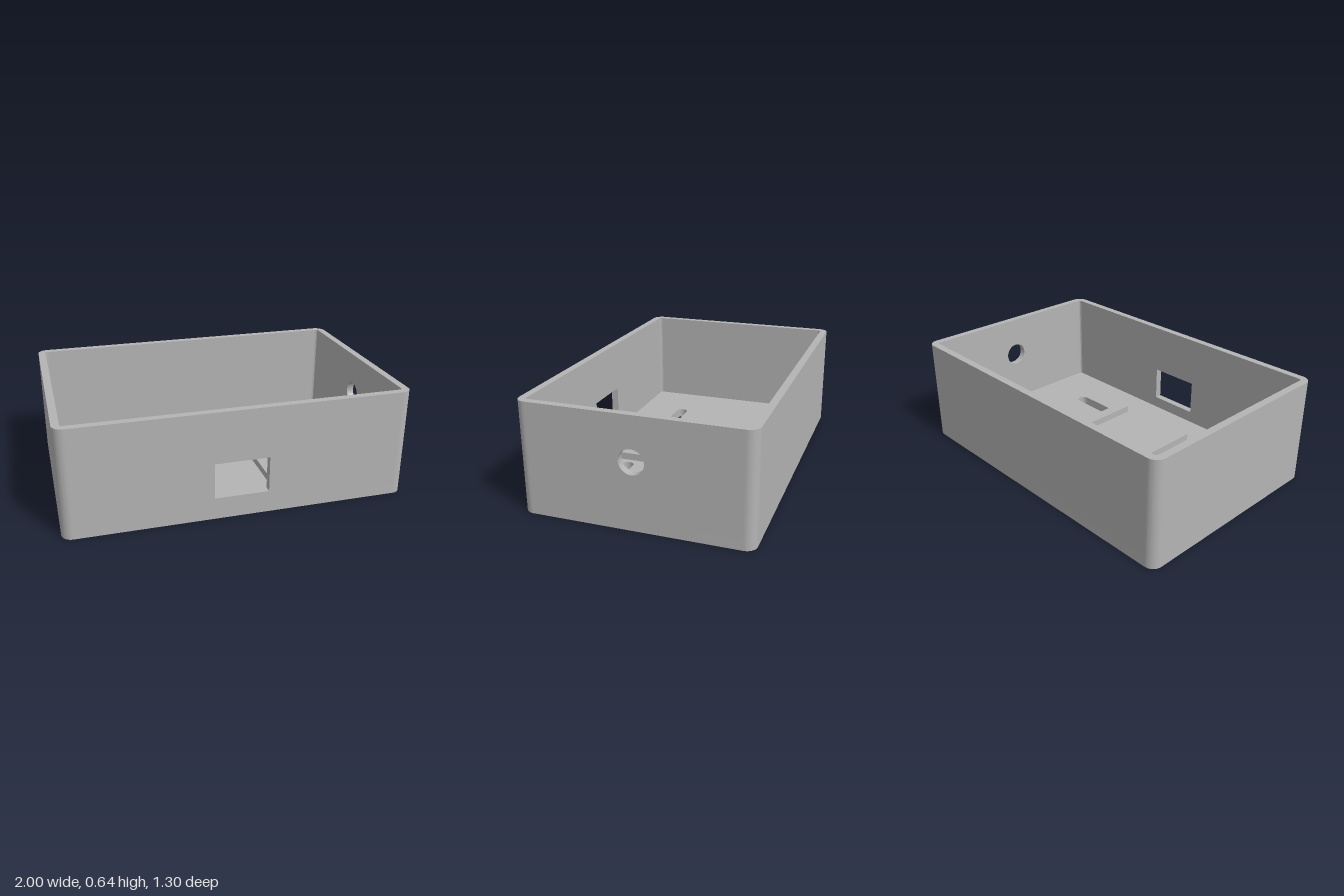
import * as THREE from 'three';
import { toCreasedNormals } from 'three/addons/utils/BufferGeometryUtils.js';

const W = 1, D = 0.65, H = 0.645;        // half width, half depth, height
const T = 0.0435, FLOOR = 0.057, R = 0.06; // wall, floor thickness, corner radius

function rect(x0, y0, x1, y1, Type = THREE.Shape) {
  const s = new Type();
  s.moveTo(x0, y0);
  s.lineTo(x1, y0);
  s.lineTo(x1, y1);
  s.lineTo(x0, y1);
  s.closePath();
  return s;
}

// Rounded outline, used for the floor and its slots
function rounded(cx, cy, hw, hh, r, Type = THREE.Shape) {
  const s = new Type();
  s.absarc(cx + hw - r, cy + hh - r, r, 0, Math.PI / 2);
  s.absarc(cx - hw + r, cy + hh - r, r, Math.PI / 2, Math.PI);
  s.absarc(cx - hw + r, cy - hh + r, r, Math.PI, Math.PI * 1.5);
  s.absarc(cx + hw - r, cy - hh + r, r, Math.PI * 1.5, Math.PI * 2);
  s.closePath();
  return s;
}

function extrude(shape, depth) {
  const g = new THREE.ExtrudeGeometry(shape, { depth, bevelEnabled: false, curveSegments: 16 });
  return toCreasedNormals(g, 0.5);
}

export function createModel() {
  const group = new THREE.Group();
  group.name = 'enclosure';
  const grey = new THREE.MeshStandardMaterial({ color: 0xb4b4b4 });
  grey.name = 'grey plastic';

  const add = (name, geometry, x = 0, y = 0, z = 0, turn = 0) => {
    const mesh = new THREE.Mesh(geometry, grey);
    mesh.name = name;
    mesh.position.set(x, y, z);
    mesh.rotation.y = turn;
    group.add(mesh);
  };

  // Floor with four mounting slots
  const floor = rounded(0, 0, W, D, R);
  for (const x of [-0.485, 0.485]) {
    for (const z of [-0.313, 0.308]) {
      floor.holes.push(rounded(x, -z, 0.147, 0.036, 0.0359, THREE.Path));
    }
  }
  add('floor', extrude(floor, FLOOR).rotateX(-Math.PI / 2));

  // Long walls, the front one with a rectangular port
  const lx = W - R, lz = D - R;
  const front = rect(-lx, FLOOR, lx, H);
  front.holes.push(rect(-0.158, 0.13, 0.158, 0.342, THREE.Path));
  add('frontWall', extrude(front, T), 0, 0, D - T);
  add('backWall', extrude(rect(-lx, FLOOR, lx, H), T), 0, 0, -D);

  // Short walls, the +x one with a round cable hole
  const side = rect(-lz, FLOOR, lz, H);
  const hole = new THREE.Path();
  hole.absarc(0, 0.391, 0.0715, 0, Math.PI * 2);
  side.holes.push(hole);
  add('leftWall', extrude(side, T), W - T, 0, 0, Math.PI / 2);
  add('rightWall', extrude(rect(-lz, FLOOR, lz, H), T), -W, 0, 0, Math.PI / 2);

  // Rounded corners joining the walls
  const arc = new THREE.Shape();
  arc.absarc(0, 0, R, 0, Math.PI / 2, false);
  arc.absarc(0, 0, R - T, Math.PI / 2, 0, true);
  arc.closePath();
  const corner = extrude(arc, H - FLOOR).rotateX(-Math.PI / 2);
  [[1, -1], [-1, -1], [-1, 1], [1, 1]].forEach(([sx, sz], i) => {
    add('corner', corner, sx * lx, FLOOR, sz * lz, i * Math.PI / 2);
  });

  // Two support rails on the floor
  const railTop = 0.1;
  for (const x of [-0.274, 0.271]) {
    add('supportRail', new THREE.BoxGeometry(0.071, railTop - FLOOR, 0.818),
      x, (railTop + FLOOR) / 2, -0.004);
  }
  return group;
}
